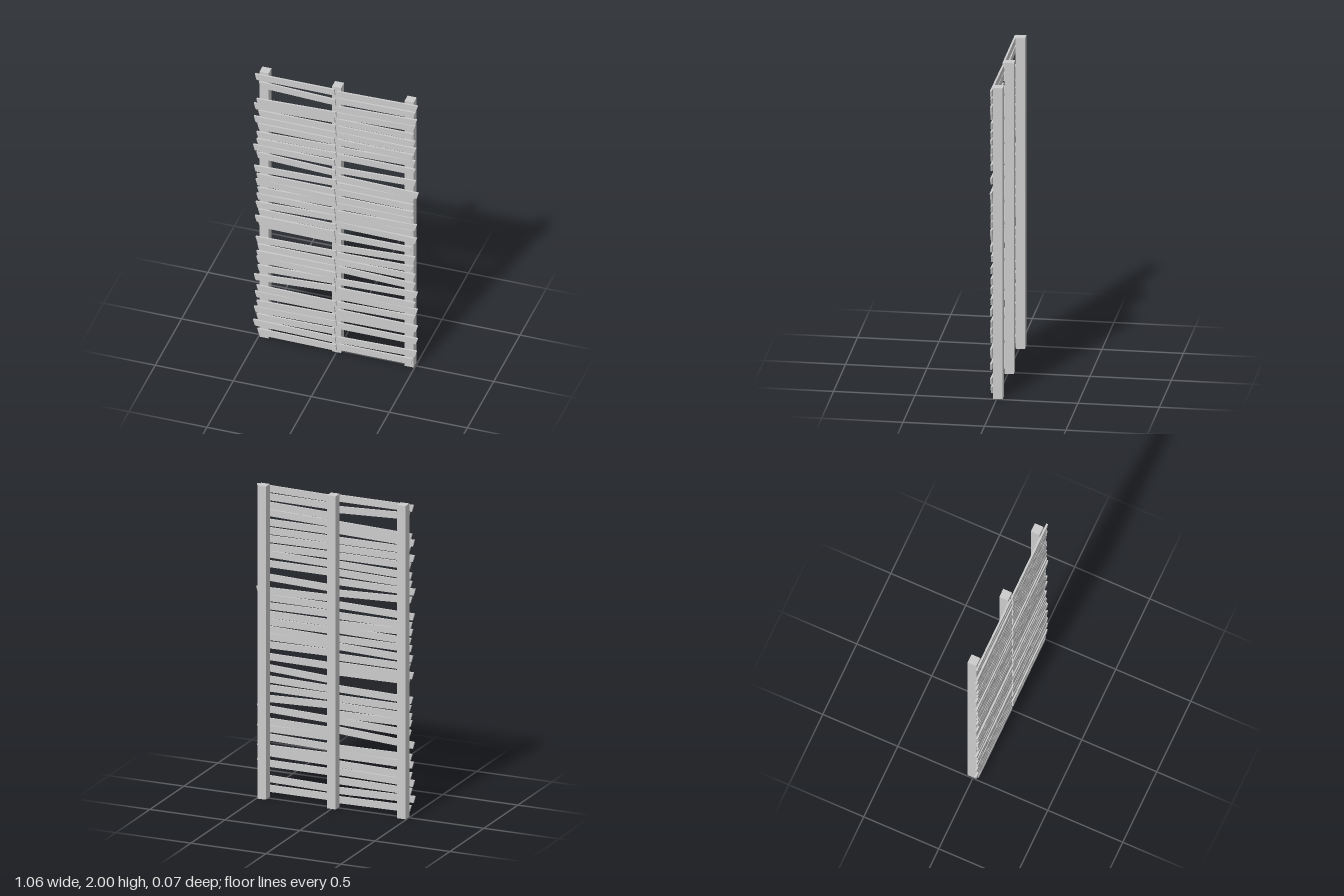
import * as THREE from 'three';

const material = new THREE.MeshStandardMaterial({ color: 0xcccccc, flatShading: true });

// Each slat: [outer reach in x, height of outer end, height of inner end]
const rightSlats = [
  [.513, 1.968, 1.968], [.487, 1.915, 1.894], [.503, 1.783, 1.799], [.519, 1.746, 1.762],
  [.492, 1.698, 1.698], [.519, 1.648, 1.648], [.497, 1.598, 1.598], [.503, 1.534, 1.545],
  [.503, 1.481, 1.492], [.524, 1.434, 1.434], [.503, 1.381, 1.360], [.519, 1.275, 1.286],
  [.503, 1.217, 1.217], [.508, 1.175, 1.164], [.497, 1.116, 1.127], [.503, 1.069, 1.069],
  [.508, 1.005, 1.021], [.492, .952, .952], [.513, .899, .899], [.492, .862, .857],
  [.508, .741, .751], [.497, .688, .688], [.503, .635, .640], [.503, .593, .587],
  [.497, .529, .545], [.519, .455, .487], [.503, .376, .370], [.513, .328, .328],
  [.503, .259, .270], [.519, .212, .222], [.503, .159, .164], [.524, .111, .101],
  [.497, .048, .042],
];
const leftSlats = [
  [.519, 1.968, 1.958], [.503, 1.915, 1.910], [.513, 1.862, 1.847], [.503, 1.815, 1.799],
  [.492, 1.751, 1.751], [.503, 1.698, 1.698], [.508, 1.646, 1.651], [.492, 1.593, 1.598],
  [.503, 1.550, 1.540], [.503, 1.487, 1.487], [.508, 1.402, 1.386], [.524, 1.312, 1.323],
  [.497, 1.270, 1.270], [.492, 1.217, 1.222], [.492, 1.164, 1.164], [.492, 1.116, 1.116],
  [.513, 1.069, 1.058], [.487, 1.021, 1.021], [.513, .968, .974], [.481, .894, .889],
  [.503, .825, .799], [.492, .751, .741], [.503, .693, .693], [.503, .624, .640],
  [.519, .561, .545], [.503, .481, .476], [.519, .434, .434], [.503, .381, .370],
  [.519, .307, .312], [.503, .280, .275], [.519, .212, .212], [.513, .116, .106],
  [.487, .053, .053],
];

// Thin board with slanted ends, running between two points
function makeSlat(xOuter, yOuter, xInner, yInner, side) {
  const half = 0.0215, lean = 0.006 * side;
  const shape = new THREE.Shape([
    new THREE.Vector2(xInner - lean / 2, yInner - half),
    new THREE.Vector2(xOuter - lean, yOuter - half),
    new THREE.Vector2(xOuter + lean, yOuter + half),
    new THREE.Vector2(xInner + lean / 2, yInner + half),
  ]);
  const slat = new THREE.Mesh(
    new THREE.ExtrudeGeometry(shape, { depth: 0.012, bevelEnabled: false }), material);
  slat.position.z = 0.025;
  return slat;
}

export function createModel() {
  const model = new THREE.Group();
  model.name = 'slattedFence';

  // Square uprights behind the slats
  for (const [name, x] of [['rightPost', -0.465], ['middlePost', 0], ['leftPost', 0.465]]) {
    const post = new THREE.Mesh(new THREE.BoxGeometry(0.058, 2, 0.058), material);
    post.name = name;
    post.position.set(x, 1, -0.008);
    model.add(post);
  }

  // Two bays of uneven slats
  for (const [name, slats, side, inner] of [
    ['rightSlats', rightSlats, -1, -0.003], ['leftSlats', leftSlats, 1, 0.01]]) {
    const bay = new THREE.Group();
    bay.name = name;
    slats.forEach(([reach, yOuter, yInner], i) => {
      const slat = makeSlat(side * reach, yOuter, inner + 0.005 * (i % 3 - 1), yInner, side);
      slat.name = 'slat' + (i + 1);
      bay.add(slat);
    });
    model.add(bay);
  }
  return model;
}
